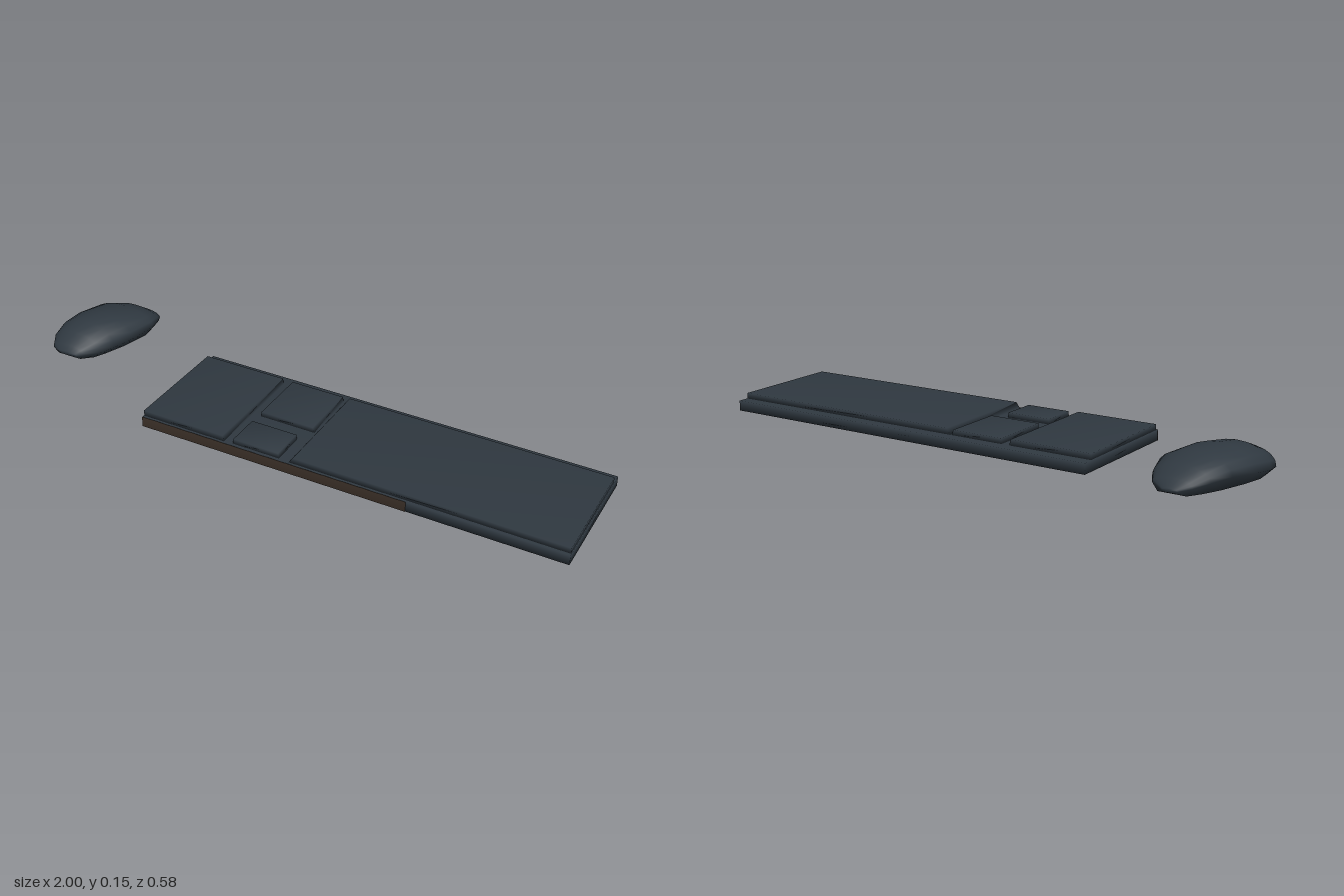
import * as THREE from 'three';
import { mergeVertices } from 'three/addons/utils/BufferGeometryUtils.js';

const SLOPE = 0.036; // keyboard rises towards the front

// Sheared box with soft shading; inL / inR pull the top edges inwards
function slab(name, mat, x0, x1, z0, z1, y0, y1, inL = 0, inR = 0) {
  const box = new THREE.BoxGeometry(x1 - x0, y1 - y0, z1 - z0);
  box.translate((x0 + x1) / 2, (y0 + y1) / 2, (z0 + z1) / 2);
  box.deleteAttribute('normal');
  box.deleteAttribute('uv');
  const geo = mergeVertices(box);
  const p = geo.attributes.position;
  const midX = (x0 + x1) / 2, midY = (y0 + y1) / 2;
  for (let i = 0; i < p.count; i++) {
    if (p.getY(i) > midY) p.setX(i, p.getX(i) + (p.getX(i) < midX ? inL : -inR));
    p.setY(i, p.getY(i) + SLOPE * p.getZ(i));
  }
  geo.computeVertexNormals();
  const mesh = new THREE.Mesh(geo, mat);
  mesh.name = name;
  return mesh;
}

// Mouse shell lofted through cross-sections from front to back
function mouseGeometry() {
  // z, left x, right x, bottom y, widest y, top y
  const stations = [
    [0.108, -0.935, -0.855, 0.060, 0.067, 0.075],
    [0.092, -0.965, -0.835, 0.048, 0.066, 0.092],
    [0.050, -0.990, -0.797, 0.040, 0.066, 0.122],
    [0.000, -0.997, -0.772, 0.037, 0.068, 0.142],
    [-0.070, -0.987, -0.742, 0.036, 0.073, 0.147],
    [-0.165, -0.957, -0.720, 0.034, 0.077, 0.134],
    [-0.225, -0.922, -0.735, 0.032, 0.067, 0.107],
    [-0.265, -0.886, -0.757, 0.030, 0.054, 0.076],
    [-0.287, -0.850, -0.800, 0.038, 0.045, 0.051],
  ];
  const ARC = 10, N = ARC + 4;
  const pos = [], idx = [];
  for (const [z, xl, xr, yb, ys, yt] of stations) {
    const c = (xl + xr) / 2, h = (xr - xl) / 2;
    for (let k = 0; k <= ARC; k++) {
      const a = Math.PI * k / ARC;
      pos.push(c + h * Math.cos(a), ys + (yt - ys) * Math.pow(Math.abs(Math.sin(a)), 0.9), z);
    }
    for (const s of [-0.72, 0, 0.72]) pos.push(c + h * s, yb, z);
  }
  const last = stations.length - 1;
  for (let i = 0; i < last; i++) {
    for (let j = 0; j < N; j++) {
      const a = i * N + j, b = i * N + (j + 1) % N;
      idx.push(a, a + N, b, b, a + N, b + N);
    }
  }
  // End caps
  for (const i of [0, last]) {
    const [z, xl, xr, , ys] = stations[i];
    const centre = pos.length / 3;
    pos.push((xl + xr) / 2, ys, z);
    for (let j = 0; j < N; j++) {
      const a = i * N + j, b = i * N + (j + 1) % N;
      if (i === 0) idx.push(centre, a, b);
      else idx.push(centre, b, a);
    }
  }
  const geo = new THREE.BufferGeometry();
  geo.setAttribute('position', new THREE.Float32BufferAttribute(pos, 3));
  geo.setIndex(idx);
  geo.computeVertexNormals();
  return geo;
}

export function createModel() {
  const slate = new THREE.MeshStandardMaterial({ color: 0x2f3840 });
  slate.name = 'darkSlate';
  const brown = new THREE.MeshStandardMaterial({ color: 0x3a2f27 });
  brown.name = 'darkBrown';

  const model = new THREE.Group();
  model.name = 'keyboardAndMouse';

  // Keyboard body, key blocks and front edge strip
  const keyboard = new THREE.Group();
  keyboard.name = 'keyboard';
  keyboard.add(
    slab('keyboardBase', slate, -0.465, 1, -0.155, 0.288, 0.0066, 0.0426),
    slab('numberPad', slate, -0.463, -0.16, -0.117, 0.279, 0.042, 0.063, 0, 0.005),
    slab('navigationKeys', slate, -0.13, 0.068, -0.117, 0.095, 0.042, 0.061, 0.003, 0.006),
    slab('arrowKeys', slate, -0.13, 0.038, 0.156, 0.276, 0.042, 0.061, 0.003, 0.003),
    slab('mainKeys', slate, 0.073, 0.998, -0.117, 0.279, 0.042, 0.063, 0.016, 0),
    slab('frontStrip', brown, -0.465, 0.48, 0.287, 0.29, 0.0066, 0.0426),
  );
  model.add(keyboard);

  // Mouse
  const mouse = new THREE.Mesh(mouseGeometry(), slate);
  mouse.name = 'mouse';
  model.add(mouse);

  return model;
}
